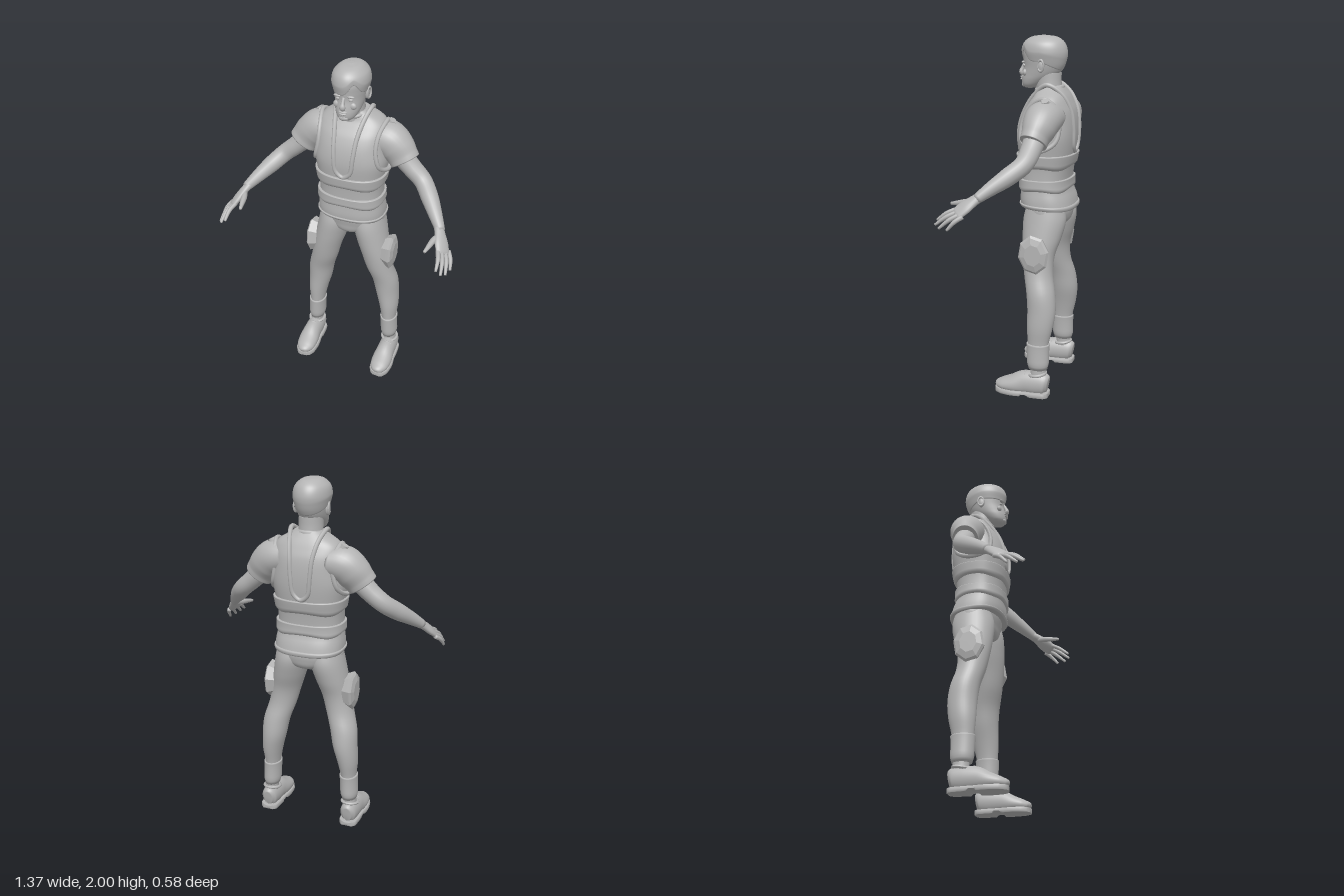
import * as THREE from 'three';

const V = (x, y, z) => new THREE.Vector3(x, y, z);
const grey = new THREE.MeshStandardMaterial({ color: 0xb4b4b4 });
grey.name = 'plain grey';

function mesh(name, geometry) {
  const m = new THREE.Mesh(geometry, grey);
  m.name = name;
  return m;
}

// Surface of closed rings: point(u along, v around), both ends closed
function rings(point, nu, nv, flat = false) {
  const pos = [], idx = [];
  const rows = [];
  for (let i = 0; i <= nu; i++) {
    const row = [];
    for (let j = 0; j < nv; j++) row.push(point(i / nu, j / nv));
    rows.push(row);
  }
  const collapse = row => {
    const c = row.reduce((s, p) => s.add(p), V(0, 0, 0)).divideScalar(nv);
    return row.map(() => c);
  };
  const all = [collapse(rows[0]), ...rows, collapse(rows[nu])];
  for (const row of all) for (const p of row) pos.push(p.x, p.y, p.z);
  for (let i = 0; i < all.length - 1; i++) for (let j = 0; j < nv; j++) {
    const k = (j + 1) % nv, a = i * nv + j, b = i * nv + k, c = a + nv, d = b + nv;
    idx.push(a, c, b, b, c, d);
  }
  let g = new THREE.BufferGeometry();
  g.setAttribute('position', new THREE.Float32BufferAttribute(pos, 3));
  g.setIndex(idx);
  if (flat) g = g.toNonIndexed();
  g.computeVertexNormals();
  return g;
}

// Smooth lookup in rows [y, halfWidth, zFront, zBack, centreX]
function section(rows, y) {
  let i = 0;
  while (i < rows.length - 2 && y > rows[i + 1][0]) i++;
  const A = rows[i], B = rows[i + 1], h = B[0] - A[0];
  const t = THREE.MathUtils.clamp((y - A[0]) / h, 0, 1);
  const slope = (k, c) => {
    const p = rows[Math.max(k - 1, 0)], n = rows[Math.min(k + 1, rows.length - 1)];
    return (n[c] - p[c]) / (n[0] - p[0]);
  };
  const get = c => {
    const a = A[c] ?? 0, b = B[c] ?? 0;
    if (A[c] === undefined) return 0;
    return a * (1 + 2 * t) * (1 - t) ** 2 + b * t * t * (3 - 2 * t)
      + h * (slope(i, c) * t * (1 - t) ** 2 + slope(i + 1, c) * t * t * (t - 1));
  };
  const f = get(2), k = get(3);
  return { hx: Math.max(get(1), 0.001), zc: (f + k) / 2, hz: Math.max((f - k) / 2, 0.001), cx: get(4) };
}

// Upright form from horizontal sections
function body(rows, { low, high, off = () => 0, n = 2, nu = 40, nv = 40, rule } = {}) {
  const pw = v => Math.sign(v) * Math.abs(v) ** (2 / n);
  return rings((u, v) => {
    const a = v * Math.PI * 2;
    const lo = typeof low === 'function' ? low(a) : low ?? rows[0][0];
    const hi = high ?? rows[rows.length - 1][0];
    const y = lo + (hi - lo) * Math.sin(u * Math.PI / 2);
    const s = section(rows, y), o = off(u);
    const p = V(s.cx + (s.hx + o) * pw(Math.cos(a)), y, s.zc + (s.hz + o) * pw(Math.sin(a)));
    if (rule) rule(p, u);
    return p;
  }, nu, nv);
}

// Limb along a path; rows [x, y, z, radiusAlongRef, radiusAcross]
function limb(rows, ref, { nu = 24, nv = 20, rule } = {}) {
  const path = new THREE.CatmullRomCurve3(rows.map(r => V(r[0], r[1], r[2])));
  const rad = new THREE.CatmullRomCurve3(rows.map(r => V(r[3], r[4] ?? r[3], 0)));
  return rings((u, v) => {
    const c = path.getPoint(u), T = path.getTangent(u), r = rad.getPoint(u), a = v * Math.PI * 2;
    const U = ref.clone().addScaledVector(T, -ref.dot(T)).normalize(), W = U.clone().cross(T);
    c.addScaledVector(U, r.x * Math.cos(a)).addScaledVector(W, r.y * Math.sin(a));
    if (rule) rule(c);
    return c;
  }, nu, nv);
}

const blob = (x, y, z, a, b, c) => new THREE.SphereGeometry(1, 16, 12).scale(a, b, c).translate(x, y, z);
const piping = (pts, r, closed, n = 90) => new THREE.TubeGeometry(new THREE.CatmullRomCurve3(pts, closed), n, r, 8, closed);

// Mirrored copy with the corner order reversed
function mirrored(m, name) {
  const g = m.geometry.clone().scale(-1, 1, 1);
  if (!g.index) g.setIndex([...Array(g.attributes.position.count).keys()]);
  const ix = g.index.array;
  for (let i = 0; i < ix.length; i += 3) [ix[i], ix[i + 1]] = [ix[i + 1], ix[i]];
  g.computeVertexNormals();
  return mesh(name, g);
}

const TORSO = [[1.07, .195, .02, -.285], [1.11, .194, .024, -.274], [1.18, .184, .02, -.25], [1.28, .184, .024, -.255],
  [1.36, .195, .034, -.27], [1.45, .208, .04, -.28], [1.53, .2, .028, -.28], [1.6, .196, 0, -.27],
  [1.65, .186, -.035, -.25], [1.68, .16, -.055, -.235], [1.71, .11, -.065, -.215], [1.73, .08, -.07, -.2]];
const HEAD = [[1.715, .03, .015, -.04], [1.73, .05, .03, -.08], [1.76, .066, .034, -.13], [1.79, .075, .03, -.175],
  [1.83, .083, .022, -.2], [1.87, .089, .024, -.21], [1.91, .092, .026, -.213], [1.95, .083, .015, -.2],
  [1.975, .06, -.01, -.175], [1.988, .035, -.045, -.14], [1.992, .004, -.085, -.095]];
const PELVIS = [[.94, .03, -.06, -.17], [.97, .12, -.025, -.235], [1.02, .185, -.012, -.258], [1.08, .19, 0, -.26], [1.13, .18, 0, -.25]];
const LEG = [[.16, .043, -.088, -.197, .246], [.3, .044, -.082, -.2, .24], [.4, .058, -.075, -.222, .235],
  [.5, .07, -.073, -.235, .22], [.6, .077, -.063, -.225, .206], [.7, .08, -.04, -.203, .176],
  [.8, .085, -.024, -.205, .153], [.9, .093, -.014, -.235, .127], [1, .096, -.012, -.255, .105], [1.08, .085, -.03, -.24, .1]];

// Point on the torso surface, front (s=1) or back (s=-1)
function onTorso(x, y, s) {
  const t = section(TORSO, y), q = Math.min(Math.abs(x) / t.hx, 0.98);
  return V(x, y, t.zc + s * t.hz * (1 - q ** 2.5) ** 0.4);
}

export function createModel() {
  const model = new THREE.Group();
  model.name = 'standingMan';
  const add = (name, g) => model.add(mesh(name, g));
  const pair = (name, g) => {
    const m = mesh(name + 'Left', g);
    model.add(m, mirrored(m, name + 'Right'));
  };

  // Vest, belts and piping
  add('vest', body(TORSO, { n: 2.5, nu: 60, nv: 56, rule: p => { if (p.y < 1.12) p.y -= (1.12 - p.y) * .3 * Math.max(0, -p.z / .28); } }));
  const bandOff = u => .014 * Math.min(1, Math.sin(Math.PI * u) * 2.5) - .002;
  for (const [lo, hi] of [[1.285, 1.365], [1.16, 1.228]])
    add('beltBand', body(TORSO, { low: a => lo + .006 * Math.cos(4 * a), high: hi, off: bandOff, n: 2.5, nu: 12, nv: 56 }));
  add('hemPiping', body(TORSO, { low: 1.07, high: 1.09, off: u => .007 * Math.sin(Math.PI * u), n: 2.5, nu: 6, nv: 56,
    rule: p => { p.y -= (1.12 - p.y) * .3 * Math.max(0, -p.z / .28); } }));
  const U = [[.04, 1.405], [.055, 1.5], [.064, 1.6], [.082, 1.69]];
  const half = [...U.map(p => onTorso(...p, 1)), V(.1, 1.74, -.14), ...U.map(p => onTorso(...p, -1)).reverse()];
  const other = half.map(p => V(-p.x, p.y, p.z)).reverse();
  add('neckPiping', piping([onTorso(0, 1.375, 1), ...half, onTorso(0, 1.375, -1), ...other], .013, true, 160));
  const hole = [[.168, 1.62], [.165, 1.53], [.185, 1.44]];
  pair('armholePiping', piping([V(.185, 1.672, -.15), ...hole.map(p => onTorso(...p, 1)), V(.212, 1.395, -.12),
    ...hole.map(p => onTorso(...p, -1)).reverse()], .013, true));
  pair('shoulderTab', new THREE.CylinderGeometry(.022, .026, .02, 6).rotateZ(-.5).translate(.207, 1.66, -.165));

  // Neck and head
  add('neck', body([[1.64, .085, -.05, -.21], [1.7, .07, -.05, -.195], [1.75, .066, -.045, -.19], [1.8, .066, -.03, -.19]]));
  add('shirtCollar', new THREE.TorusGeometry(.072, .012, 10, 36).rotateX(Math.PI / 2 + .12).translate(0, 1.715, -.125));
  add('head', body(HEAD, { nu: 60 }));
  add('hair', body(HEAD, {
    low: a => Math.sin(a) < 0 ? 1.862 + .05 * Math.sin(a) : 1.862 + .06 * Math.exp(-(((a - 1) / .35) ** 2)),
    off: u => .01 * Math.min(1, .3 + u * 3), nu: 44, nv: 64, rule: (p, u) => { p.y += .008 * u; } }));
  add('nose', limb([[0, 1.85, .02, .008], [0, 1.82, .033, .011], [0, 1.8, .04, .017, .013], [0, 1.788, .03, .012]], V(1, 0, 0), { nu: 12, nv: 14 }));
  add('upperLip', blob(0, 1.774, .033, .025, .006, .012));
  add('lowerLip', blob(0, 1.762, .033, .021, .007, .012));
  add('chin', blob(0, 1.733, .022, .027, .016, .014));
  pair('eye', blob(.034, 1.838, .009, .014, .008, .01));
  pair('brow', blob(.035, 1.856, .014, .023, .007, .01).rotateZ(0));
  pair('cheek', blob(.043, 1.8, .002, .022, .02, .014));
  pair('ear', blob(.086, 1.838, -.1, .012, .034, .02));
  pair('earRim', new THREE.TorusGeometry(.022, .006, 8, 20).scale(.8, 1.35, 1).rotateY(Math.PI / 2 - .25).translate(.095, 1.841, -.102));

  // Arms and hands
  const fwd = V(0, 0, 1);
  pair('sleeve', limb([[.12, 1.575, -.155, .1, .085], [.2, 1.562, -.15, .1, .1], [.25, 1.52, -.143, .09, .097],
    [.283, 1.48, -.135, .075, .088], [.3, 1.455, -.13, .073, .086]], fwd, { nv: 28 }));
  pair('arm', limb([[.27, 1.49, -.135, .06], [.34, 1.42, -.13, .056, .053], [.41, 1.36, -.115, .05], [.47, 1.305, -.055, .048],
    [.53, 1.248, .02, .037], [.577, 1.2, .08, .026]], fwd, { nu: 32 }));
  const across = V(.05, -.03, -.06).normalize();
  pair('palm', limb([[.56, 1.215, .06, .026, .024], [.58, 1.19, .095, .033, .022], [.602, 1.158, .135, .044, .021],
    [.62, 1.13, .168, .043, .016], [.625, 1.122, .178, .034, .01]], across));
  const tips = [[.618, 1.085, .283], [.645, 1.066, .283], [.664, 1.053, .255], [.676, 1.05, .205]];
  tips.forEach(([x, y, z], i) => {
    const k = i / 3, b = [.596 + .046 * k, 1.146 - .027 * k, .18 - .05 * k];
    const mid = [(b[0] + x) / 2 + .006, (b[1] + y) / 2 + .008, (b[2] + z) / 2];
    pair('finger', limb([[...b, .0125], [...mid, .0115], [x, y, z, .007]], across, { nu: 10, nv: 10 }));
  });
  pair('thumb', limb([[.58, 1.185, .095, .018], [.558, 1.175, .15, .017], [.547, 1.165, .2, .013], [.538, 1.158, .238, .008]], V(0, 1, 0), { nu: 12, nv: 10 }));

  // Trousers, cuffs and thigh pads
  add('trouserSeat', body(PELVIS));
  pair('trouserLeg', body(LEG, { nu: 48, nv: 32 }));
  pair('trouserCuff', body(LEG, { low: .165, high: .31, off: u => .008 * Math.min(1, Math.sin(Math.PI * u) * 3), nu: 14, nv: 32 }));
  const layers = [[.2, .8], [.238, .95], [.252, 1], [.262, .88], [.272, .55]];
  pair('thighPad', rings((u, v) => {
    const [x, s] = layers[Math.round(u * 4)], a = (v + 1 / 16) * Math.PI * 2 + .2;
    return V(x, .828 + s * .112 * Math.sin(a), -.115 + s * .09 * Math.cos(a));
  }, 4, 8, true));

  // Shoes
  pair('ankle', body([[.07, .045, -.09, -.195, .25], [.13, .038, -.1, -.19, .25], [.19, .038, -.1, -.19, .247]], { nu: 8 }));
  pair('ankleCollar', new THREE.TorusGeometry(.046, .009, 8, 28).rotateX(Math.PI / 2 + .15).translate(.25, .13, -.142));
  const shoe = [[.252, .07, -.205, .025, .045], [.252, .074, -.185, .046, .062], [.252, .072, -.125, .052, .07], [.252, .068, -.065, .054, .068],
    [.252, .052, 0, .061, .052], [.25, .042, .06, .055, .036], [.248, .035, .095, .034, .024], [.247, .03, .104, .015, .012]];
  pair('shoe', limb(shoe, V(1, 0, 0), { nu: 32, nv: 28, rule: p => { p.y = Math.max(p.y, .018); } }));
  pair('sole', limb(shoe.map(([x, y, z, w]) => [x, .012, z * 1.02, w + .005, .06]), V(1, 0, 0),
    { nu: 32, nv: 28, rule: p => { p.y = THREE.MathUtils.clamp(p.y, p.z > -.1 && p.z < -.05 ? .012 : 0, .026); } }));
  for (let i = 0; i < 4; i++) {
    const z = -.075 + i * .022, y = .137 - i * .011;
    pair('lace', piping([V(.222, y - .014, z), V(.252, y + .001, z + .004), V(.282, y - .014, z)], .004, false, 10));
  }
  return model;
}
